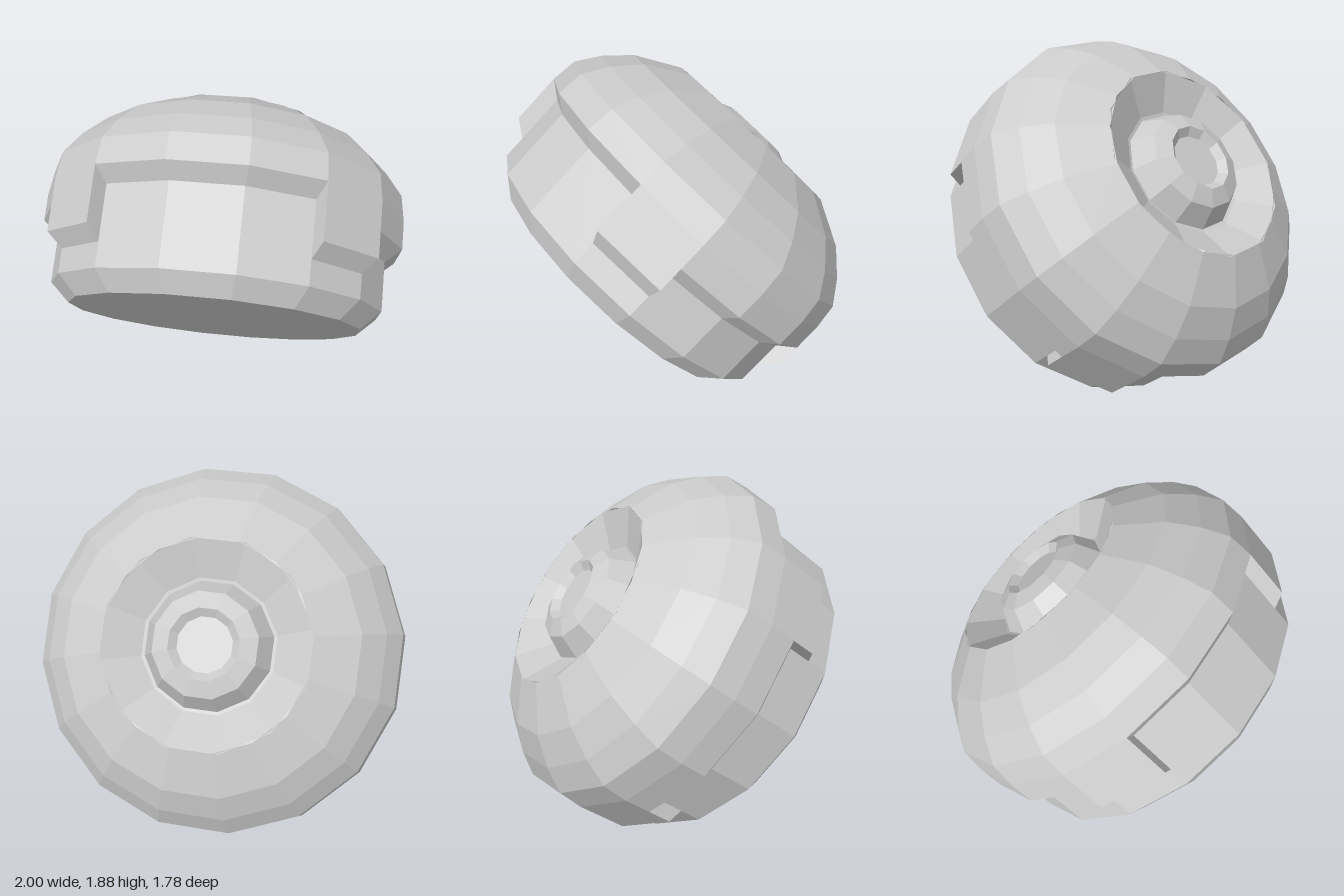
import * as THREE from 'three';

const SIDES = 16;
const STEP = (Math.PI * 2) / SIDES;
const R_BAND = 0.93;   // recessed band
const R_SHELL = 1.02;  // outer shell
const SHOULDER = 0.727;
const LIP = 0.074;     // rise of the bevelled lip from band to shell

const material = new THREE.MeshStandardMaterial({
  color: 0xcccccc, flatShading: true, side: THREE.DoubleSide,
});

// Faceted turned part; profile is [radius, height] from bottom to top.
function turned(name, profile, sides = SIDES, start = Math.PI / sides, length = Math.PI * 2) {
  const points = profile.map(([r, y]) => new THREE.Vector2(r, y));
  const mesh = new THREE.Mesh(new THREE.LatheGeometry(points, sides, start, length), material);
  mesh.name = name;
  return mesh;
}

// Radial wall closing the end of a tab, between a low and a high lip.
function tabWall(angle, low, high) {
  const at = (r, y) => [r * Math.sin(angle), y, r * Math.cos(angle)];
  const a = at(R_BAND, low - LIP), b = at(R_SHELL, low);
  const c = at(R_SHELL, high), d = at(R_BAND, high - LIP);
  const geometry = new THREE.BufferGeometry();
  geometry.setAttribute('position',
    new THREE.Float32BufferAttribute([a, b, c, a, c, d].flat(), 3));
  geometry.computeVertexNormals();
  const mesh = new THREE.Mesh(geometry, material);
  mesh.name = 'tabWall';
  return mesh;
}

export function createModel() {
  const body = new THREE.Group();
  body.name = 'tiltedBody';

  // Flat base, bevel and recessed band
  body.add(turned('base', [[0, 0.126], [0.82, 0.126], [R_BAND, 0.228], [R_BAND, 0.653]]));

  // Domed shell
  body.add(turned('dome', [
    [R_SHELL, SHOULDER], [1.0, 0.874], [0.911, 1.0], [0.783, 1.125], [0.543, 1.254],
  ]));

  // Crater and central knob with a dished top
  body.add(turned('crater', [[0.36, 1.135], [0.55, 1.254]].reverse(), 12));
  body.add(turned('craterFloor', [[0.36, 1.135], [0.342, 1.13]], 12));
  body.add(turned('knob', [
    [0.342, 1.13], [0.276, 1.25], [0.186, 1.287], [0.145, 1.25], [0, 1.25],
  ], 12));

  // Stepped shell skirt: [first facet, facet count, lower edge height]
  const high = SHOULDER, middle = 0.572, low = 0.433;
  const skirt = [
    [-1, 3, high], [2, 1, low], [3, 3, middle], [6, 1, low],
    [7, 3, high], [10, 1, low], [11, 3, middle], [14, 1, low],
  ];
  skirt.forEach(([first, count, edge], i) => {
    const start = (first - 0.5) * STEP;
    const profile = [[R_BAND, edge - LIP], [R_SHELL, edge]];
    if (edge < SHOULDER) profile.push([R_SHELL, SHOULDER]);
    body.add(turned(edge === low ? 'tab' : 'skirt', profile, count, start, count * STEP));
    const previous = skirt[(i + skirt.length - 1) % skirt.length][2];
    body.add(tabWall(start, Math.min(edge, previous), Math.max(edge, previous)));
  });

  // Lean the whole body back onto the edge of its base
  body.rotation.x = THREE.MathUtils.degToRad(-50);
  body.position.set(0, 0.556, 0.467);

  const model = new THREE.Group();
  model.name = 'model';
  model.add(body);
  return model;
}
